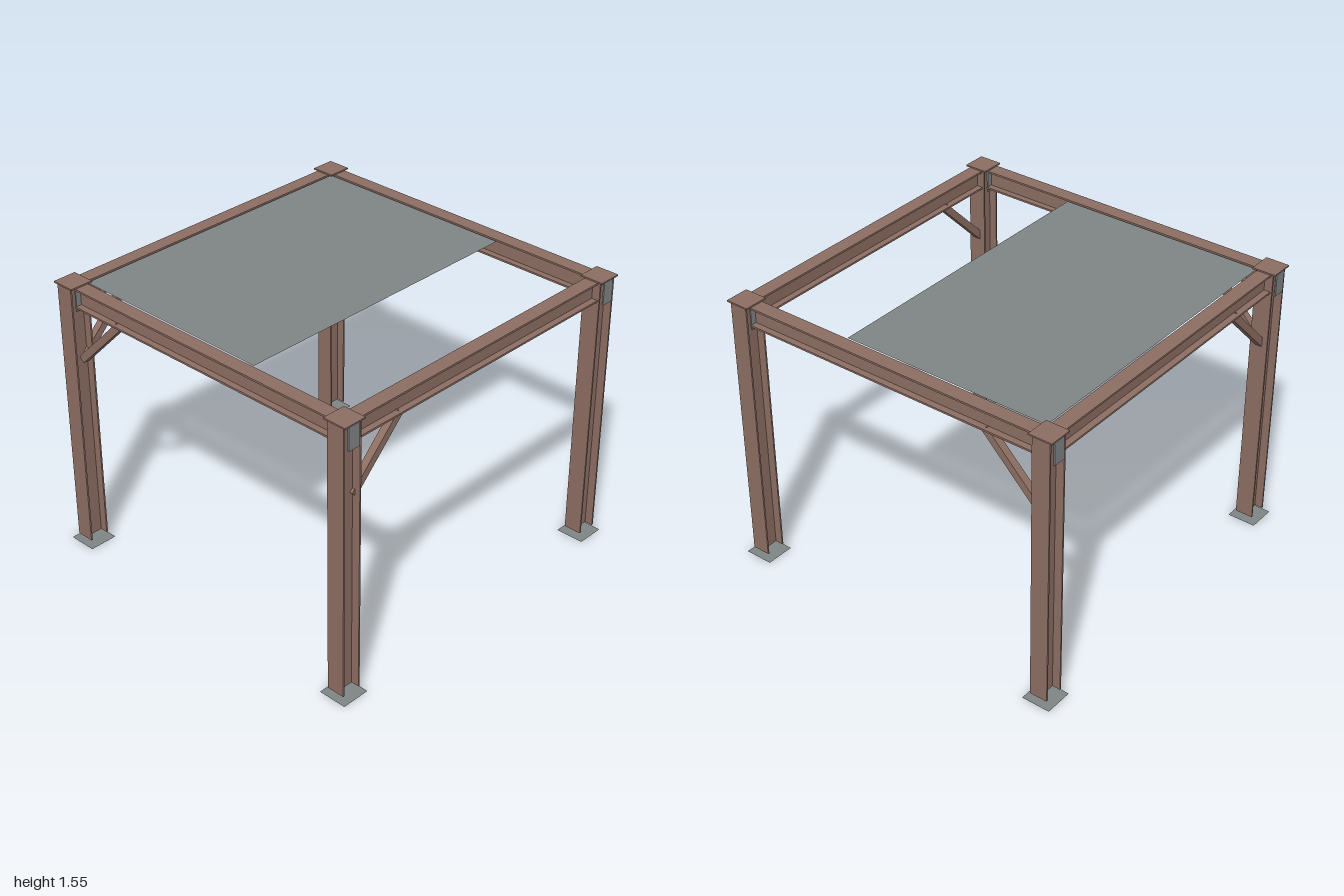
import * as THREE from 'three';

const POST = 0.92;      // distance of post centres from the axes
const TOP = 1.538;      // top of beams

export function createModel() {
  const model = new THREE.Group();
  model.name = 'pergola';
  const brown = new THREE.MeshStandardMaterial({ color: 0x8d6e63, flatShading: true });
  brown.name = 'brownSteel';
  const grey = new THREE.MeshStandardMaterial({ color: 0x808585, flatShading: true, side: THREE.DoubleSide });
  grey.name = 'greyPanel';

  const add = (parent, name, geometry, material, x = 0, y = 0, z = 0) => {
    const mesh = new THREE.Mesh(geometry, material);
    mesh.name = name;
    mesh.position.set(x, y, z);
    parent.add(mesh);
    return mesh;
  };
  const box = (w, h, d) => new THREE.BoxGeometry(w, h, d);
  const sheet = (w, d) => new THREE.PlaneGeometry(w, d).rotateX(-Math.PI / 2);

  // I-section extruded along z: flanges lie across the top and bottom
  const iBeam = (width, height, flange, web, length) => {
    const w = width / 2, h = height / 2, t = web / 2, f = h - flange;
    const shape = new THREE.Shape([
      [-w, -h], [w, -h], [w, -f], [t, -f], [t, f], [w, f],
      [w, h], [-w, h], [-w, f], [-t, f], [-t, -f], [-w, -f],
    ].map(([x, y]) => new THREE.Vector2(x, y)));
    return new THREE.ExtrudeGeometry(shape, { depth: length, bevelEnabled: false })
      .translate(0, 0, -length / 2);
  };

  // Posts with caps, foot plates and end plates
  const postBottom = 0.03;
  const postGeometry = iBeam(0.1, 0.115, 0.009, 0.01, TOP - postBottom).rotateX(-Math.PI / 2);
  for (const sx of [-1, 1]) {
    for (const sz of [-1, 1]) {
      const post = new THREE.Group();
      post.name = 'post';
      post.position.set(sx * POST, 0, sz * POST);
      model.add(post);
      add(post, 'column', postGeometry, brown, 0, (TOP + postBottom) / 2, 0);
      add(post, 'cap', box(0.132, 0.008, 0.132), brown, 0, TOP + 0.004, 0);
      add(post, 'footPlate', sheet(0.16, 0.16), grey);
      for (const side of [-1, 1]) {
        add(post, 'endPlate', box(0.008, 0.13, 0.07), grey, side * 0.056, 1.473, 0);
      }
    }
  }

  // Top beams between the posts
  const beamY = TOP - 0.055;
  const sideBeam = iBeam(0.08, 0.11, 0.01, 0.01, 1.73);
  const crossBeam = iBeam(0.08, 0.11, 0.01, 0.01, 1.73).rotateY(Math.PI / 2);
  for (const s of [-1, 1]) {
    add(model, 'sideBeam', sideBeam, brown, s * POST, beamY, 0);
    add(model, 'crossBeam', crossBeam, brown, 0, beamY, s * POST);
  }

  // Diagonal braces at the right and front ends of the beams
  const braceGeometry = box(0.43, 0.04, 0.04);
  for (const s of [-1, 1]) {
    const cross = add(model, 'crossBrace', braceGeometry, brown, -0.723, 1.275, s * POST);
    cross.rotation.z = Math.PI / 4;
    const side = add(model, 'sideBrace', braceGeometry, brown, s * POST, 1.275, 0.723);
    side.rotation.set(0, Math.PI / 2, Math.PI / 4, 'YXZ');
  }

  // Roof panel covering part of the frame
  add(model, 'roofPanel', sheet(1.175, 1.74), grey, -0.283, 1.535, 0);

  return model;
}
